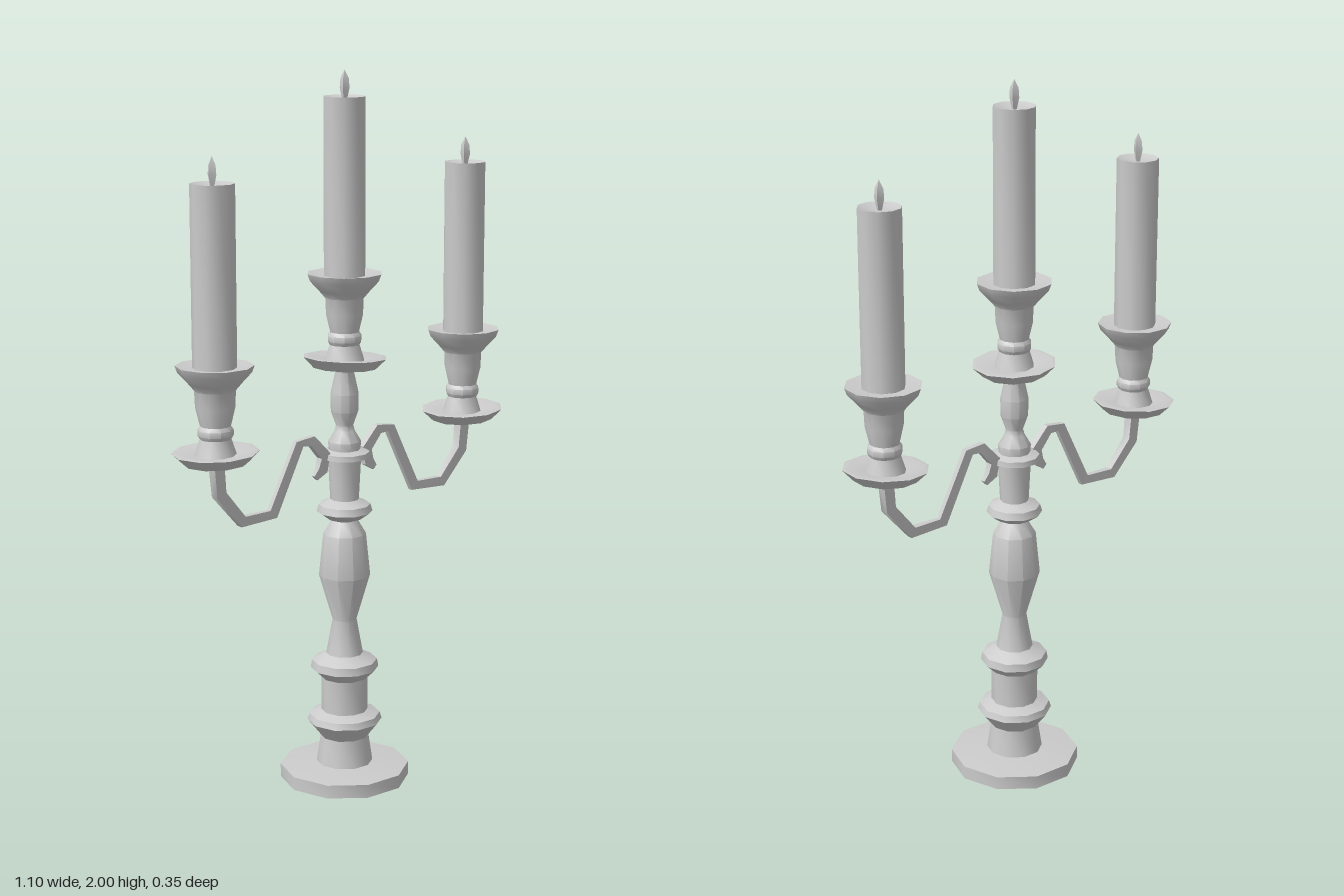
import * as THREE from 'three';
import { toCreasedNormals } from 'three/addons/utils/BufferGeometryUtils.js';

const SIDES = 10;

export function createModel() {
  const model = new THREE.Group();
  model.name = 'candelabra';
  const material = new THREE.MeshStandardMaterial({ color: 0xcccccc });

  function part(name, geometry, parent) {
    const mesh = new THREE.Mesh(toCreasedNormals(geometry, 0.66), material);
    mesh.name = name;
    parent.add(mesh);
    return mesh;
  }

  // Turned part from [radius, height] pairs, listed bottom to top
  function turned(name, profile, parent, sides = SIDES) {
    const points = profile.map(([r, y]) => new THREE.Vector2(r, y));
    return part(name, new THREE.LatheGeometry(points, sides, Math.PI / 2), parent);
  }

  // Base plate and turned column
  turned('base', [[0, 0], [0.183, 0], [0.183, 0.038], [0.08, 0.047], [0, 0.047]], model);
  turned('column', [
    [0.08, 0.045], [0.068, 0.125], [0.106, 0.172], [0.1, 0.19], [0.066, 0.202],
    [0.066, 0.3], [0.096, 0.328], [0.092, 0.35], [0.052, 0.37],
    [0.034, 0.47], [0.072, 0.6], [0.06, 0.72], [0.036, 0.76],
    [0.05, 0.765], [0.078, 0.785], [0.072, 0.805], [0.04, 0.82],
    [0.046, 0.935], [0.072, 0.94], [0.07, 0.955], [0.044, 0.962],
    [0.046, 0.985], [0.028, 1.015], [0.024, 1.03],
    [0.038, 1.07], [0.039, 1.12], [0.026, 1.18], [0.03, 1.2],
  ], model);

  // Saucer, cup, candle and flame; y = 0 is the saucer underside
  function candleHolder(name, x, y, tilt, turn) {
    const holder = new THREE.Group();
    holder.name = name;
    holder.position.set(x, y, 0);
    holder.rotation.y = turn;
    model.add(holder);
    const saucer = turned('saucer', [
      [0, 0], [0.088, 0], [0.118, 0.03], [0.105, 0.032], [0.06, 0.022], [0, 0.022],
    ], holder);
    saucer.rotation.z = tilt;
    turned('cup', [
      [0.058, 0.015], [0.042, 0.065], [0.048, 0.075], [0.048, 0.09], [0.041, 0.1],
      [0.053, 0.15], [0.055, 0.195], [0.072, 0.215], [0.098, 0.243],
      [0.105, 0.262], [0.06, 0.256], [0, 0.256],
    ], holder);
    turned('candle', [[0.059, 0.25], [0.059, 0.738], [0.052, 0.735], [0, 0.728]], holder);
    turned('flame', [[0.006, 0.725], [0.014, 0.76], [0.012, 0.785], [0, 0.808]], holder, 4)
      .rotation.y = 0.3;
  }
  candleHolder('centreCandleHolder', 0, 1.192, -0.05, 0.25);
  candleHolder('leftCandleHolder', 0.436, 0.99, 0.05, 0.25);
  candleHolder('rightCandleHolder', -0.437, 0.99, 0.035, 0);

  // Arm stations: x, y, half thickness, half depth
  const stations = [
    [0.105, 0.895, 0.008, 0.006], [0.082, 0.915, 0.016, 0.009], [0.074, 0.955, 0.016, 0.011],
    [0.118, 1.003, 0.014, 0.009], [0.162, 1.0, 0.014, 0.008], [0.252, 0.818, 0.016, 0.007],
    [0.355, 0.815, 0.015, 0.01], [0.428, 0.9, 0.016, 0.013], [0.437, 1.0, 0.016, 0.015],
  ];

  // Square bar swept along the stations
  function armGeometry(side) {
    const positions = [];
    const index = [];
    const count = stations.length;
    stations.forEach(([x, y, t, d], i) => {
      const a = stations[Math.max(i - 1, 0)];
      const b = stations[Math.min(i + 1, count - 1)];
      const dir = new THREE.Vector2(b[0] - a[0], b[1] - a[1]).normalize();
      for (const [u, v] of [[1, 1], [1, -1], [-1, -1], [-1, 1]]) {
        positions.push(side * (x - dir.y * t * u), y + dir.x * t * u, d * v);
      }
    });
    const quad = (a, b, c, d) => {
      if (side > 0) index.push(a, b, c, a, c, d);
      else index.push(a, c, b, a, d, c);
    };
    for (let i = 0; i < count - 1; i++) {
      for (let k = 0; k < 4; k++) {
        const n = (k + 1) % 4;
        quad(i * 4 + k, i * 4 + 4 + k, i * 4 + 4 + n, i * 4 + n);
      }
    }
    quad(0, 1, 2, 3);
    const e = (count - 1) * 4;
    quad(e + 3, e + 2, e + 1, e);
    const geometry = new THREE.BufferGeometry();
    geometry.setAttribute('position', new THREE.Float32BufferAttribute(positions, 3));
    geometry.setIndex(index);
    return geometry;
  }
  part('leftArm', armGeometry(1), model);
  part('rightArm', armGeometry(-1), model);

  // Short pegs joining the arms to the collar
  for (const side of [1, -1]) {
    const peg = part(side > 0 ? 'leftPeg' : 'rightPeg', new THREE.BoxGeometry(0.05, 0.018, 0.018), model);
    peg.position.set(side * 0.058, 0.948, 0);
  }

  return model;
}
